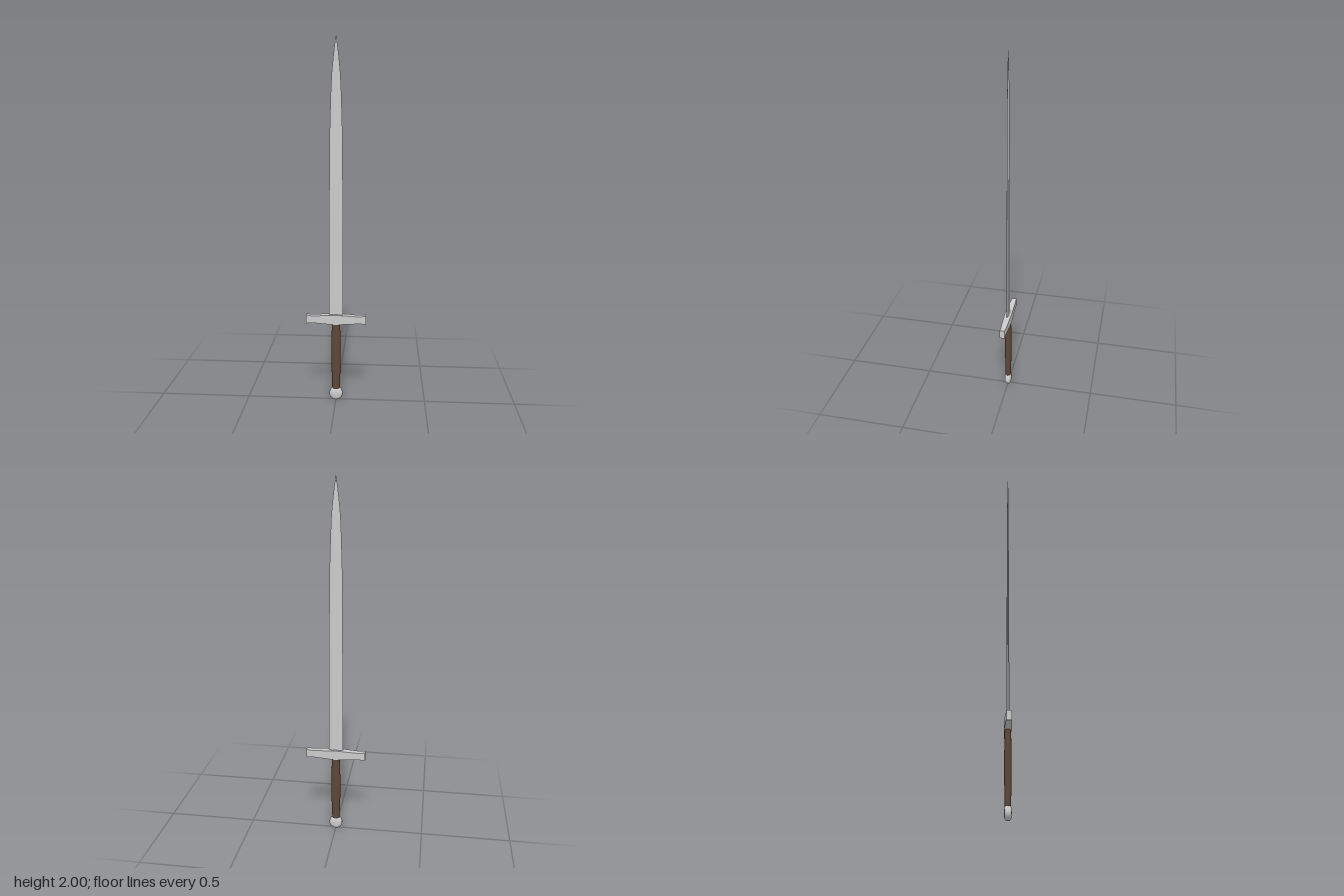
import * as THREE from 'three';

const steel = new THREE.MeshStandardMaterial({ color: 0xcccccc, flatShading: true });
const smoothSteel = new THREE.MeshStandardMaterial({ color: 0xcccccc });
const leather = new THREE.MeshStandardMaterial({ color: 0x5f4638 });

// Skin a list of equal-sized rings (counter-clockwise seen from the end of the path), capping both ends.
function loft(rings) {
  const n = rings[0].length, last = (rings.length - 1) * n, index = [];
  for (let r = 0; r < rings.length - 1; r++) {
    for (let i = 0; i < n; i++) {
      const a = r * n + i, b = r * n + (i + 1) % n;
      index.push(a, b, b + n, a, b + n, a + n);
    }
  }
  for (let i = 1; i < n - 1; i++) {
    index.push(0, i + 1, i, last, last + i, last + i + 1);
  }
  const geometry = new THREE.BufferGeometry();
  geometry.setAttribute('position', new THREE.Float32BufferAttribute(rings.flat(2), 3));
  geometry.setIndex(index);
  geometry.computeVertexNormals();
  return geometry;
}

function addPart(group, name, geometry, material) {
  const mesh = new THREE.Mesh(geometry, material);
  mesh.name = name;
  group.add(mesh);
  return mesh;
}

export function createModel() {
  const sword = new THREE.Group();
  sword.name = 'sword';

  // Blade: double-edged section with a shallow central groove; [y, half width, half depth, groove depth]
  const bladeRings = [
    [0.48, 0.04, 0.008, 0.004], [0.59, 0.0395, 0.0075, 0.004], [0.9, 0.038, 0.0065, 0.0035],
    [1.25, 0.036, 0.0055, 0.004], [1.53, 0.033, 0.0045, 0.0045], [1.7, 0.028, 0.004, 0.004],
    [1.8, 0.0235, 0.0036, 0.0036], [1.88, 0.016, 0.003, 0.003], [1.94, 0.009, 0.0025, 0.0025],
    [2, 0.0005, 0.0005, 0.0005],
  ].map(([y, w, d, g]) => [
    [w, 0], [w * 0.38, -d], [0, -g], [-w * 0.38, -d],
    [-w, 0], [-w * 0.38, d], [0, g], [w * 0.38, d],
  ].map(([x, z]) => [x, y, z]));
  addPart(sword, 'blade', loft(bladeRings), steel);

  // Crossguard: thick in the middle, waisted, flared at the ends; [x, half height, half depth]
  const guardRings = [
    [-0.167, 0.025, 0.014], [-0.135, 0.02, 0.0155], [0, 0.028, 0.02],
    [0.135, 0.02, 0.0155], [0.167, 0.025, 0.014],
  ].map(([x, h, d]) => [[-h, -d], [h, -d], [h, d], [-h, d]].map(([y, z]) => [x, 0.475 + y, z]));
  addPart(sword, 'crossguard', loft(guardRings), steel);

  // Grip: oval, swelling slightly in the middle
  const gripProfile = [[0.021, 0.06], [0.023, 0.12], [0.026, 0.22], [0.0255, 0.32], [0.024, 0.4], [0.022, 0.455]];
  const grip = addPart(sword, 'grip',
    new THREE.LatheGeometry(gripProfile.map(([r, y]) => new THREE.Vector2(r, y)), 20), leather);
  grip.scale.z = 0.72;

  // Pommel: disc facing forward, with bevelled, gently domed faces
  const pommelProfile = [[0, -0.019], [0.016, -0.018], [0.027, -0.016], [0.037, -0.009],
    [0.037, 0.009], [0.027, 0.016], [0.016, 0.018], [0, 0.019]];
  const pommel = addPart(sword, 'pommel',
    new THREE.LatheGeometry(pommelProfile.map(([r, y]) => new THREE.Vector2(r, y)), 28), smoothSteel);
  pommel.rotation.x = Math.PI / 2;
  pommel.position.y = 0.037;

  return sword;
}
